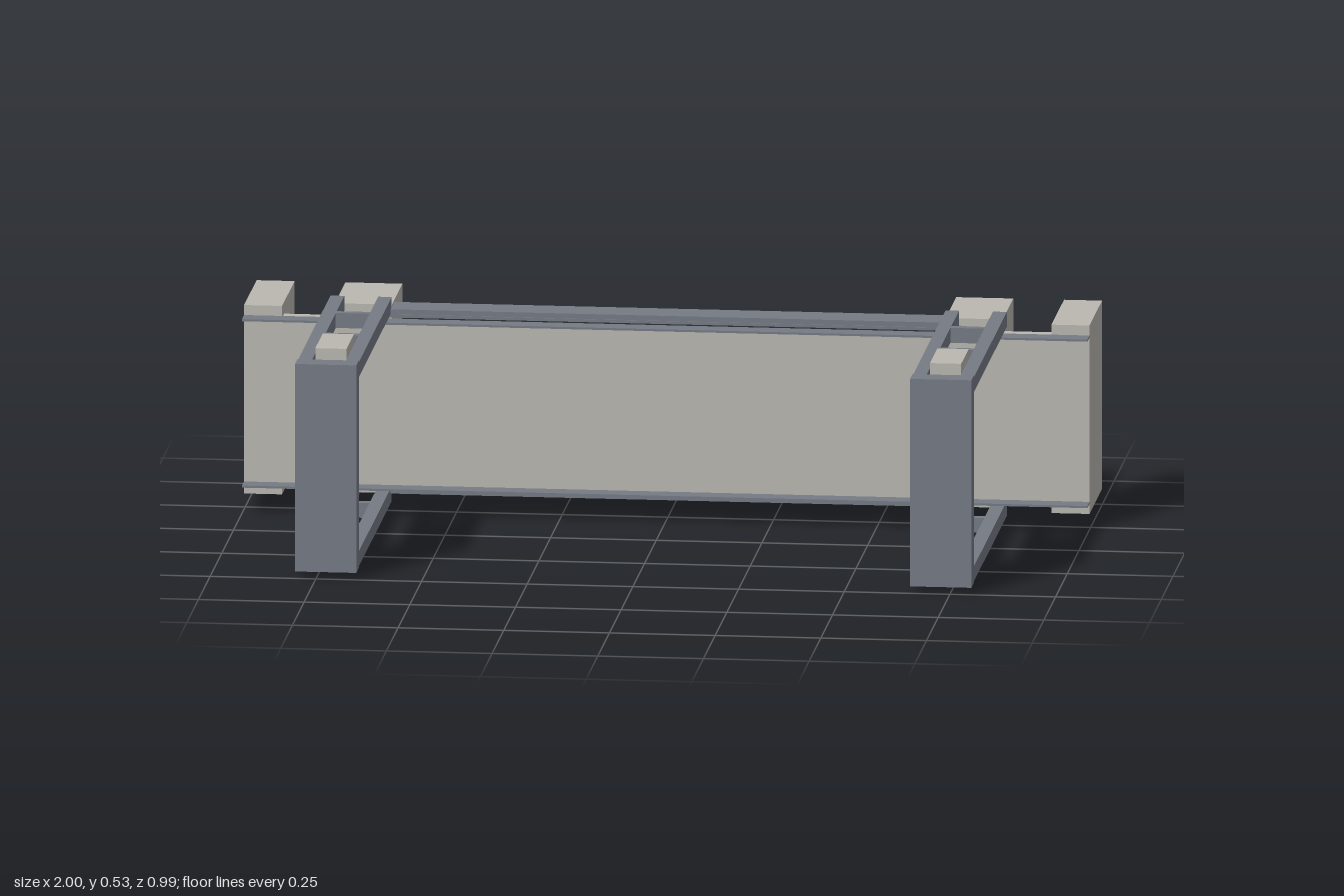
import * as THREE from 'three';

export function createModel() {
  const model = new THREE.Group();
  const slate = new THREE.MeshStandardMaterial({ color: 0x757a84 });
  slate.name = 'slate';
  const beige = new THREE.MeshStandardMaterial({ color: 0xbab7b0 });
  beige.name = 'beige';

  // Box given by its limits along each axis
  function box(name, material, [x0, x1], [y0, y1], [z0, z1], parent = model) {
    const mesh = new THREE.Mesh(new THREE.BoxGeometry(x1 - x0, y1 - y0, z1 - z0), material);
    mesh.position.set((x0 + x1) / 2, (y0 + y1) / 2, (z0 + z1) / 2);
    mesh.name = name;
    parent.add(mesh);
  }
  const midY = 0.265;
  // Same range mirrored about the mid-height, or about x = 0
  const flipY = ([a, b]) => [2 * midY - b, 2 * midY - a];
  const flipX = ([a, b]) => [-b, -a];

  // Long thin wall
  box('mainPanel', beige, [-1, 1], [0.066, 0.464], [-0.231, -0.225]);

  // Long rails at the top and bottom edges of the wall
  for (const level of ['upper', 'lower']) {
    const y = (a, b) => (level === 'upper' ? [a, b] : flipY([a, b]));
    box(level + 'FrontFlange', slate, [-1, 1], y(0.463, 0.468), [-0.225, -0.18]);
    box(level + 'BackBeam', slate, [-0.655, 0.655], y(0.468, 0.487), [-0.32, -0.24]);
    box(level + 'BeamLip', slate, [-0.705, 0.705], y(0.468, 0.475), [-0.265, -0.237]);
  }

  for (const side of ['left', 'right']) {
    const x = (a, b) => (side === 'left' ? [a, b] : flipX([a, b]));

    // Counterweight blocks behind the wall, joined by a filler
    box(side + 'InnerBlock', beige, x(0.655, 0.79), [0.038, 0.492], [-0.494, -0.268]);
    box(side + 'OuterBlock', beige, x(0.91, 1), [0.038, 0.492], [-0.494, -0.225]);
    box(side + 'Filler', beige, x(0.79, 0.91), [0.066, 0.464], [-0.268, -0.231]);

    // C-shaped frame reaching forward
    const frame = new THREE.Group();
    frame.name = side + 'Frame';
    model.add(frame);
    box('frontPost', slate, x(0.655, 0.8), [0.015, 0.515], [0.44, 0.492], frame);
    for (const level of ['upper', 'lower']) {
      const y = (a, b) => (level === 'upper' ? [a, b] : flipY([a, b]));
      // Ladder arm: two rails and rungs
      for (const rail of [[0.655, 0.687], [0.767, 0.8]]) {
        box(level + 'Rail', slate, x(...rail), y(0.475, 0.511), [-0.265, 0.44], frame);
      }
      for (const rung of [[-0.1, -0.08], [0.132, 0.153], [0.43, 0.44]]) {
        box(level + 'Rung', slate, x(0.687, 0.767), y(0.475, 0.511), rung, frame);
      }
      // Pad held between the rails
      box(level + 'Pad', beige, x(0.69, 0.764), y(0.458, 0.53), [0.225, 0.385], frame);
    }
  }
  return model;
}
